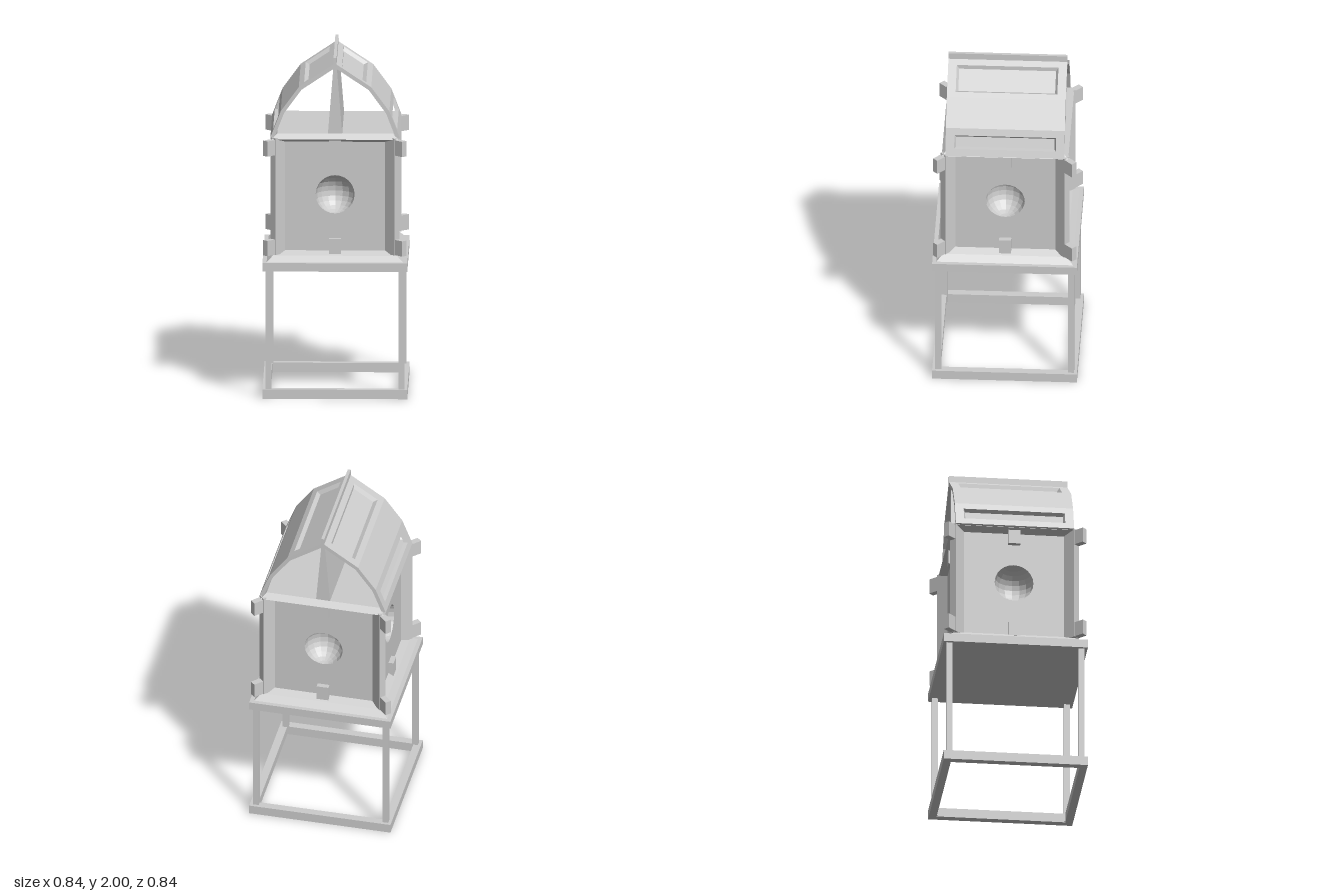
import * as THREE from 'three';

const mat = new THREE.MeshStandardMaterial({ color: 0xcccccc, flatShading: true });
const matDouble = new THREE.MeshStandardMaterial({ color: 0xcccccc, flatShading: true, side: THREE.DoubleSide });

function add(parent, name, geometry, material = mat) {
  const mesh = new THREE.Mesh(geometry, material);
  mesh.name = name;
  parent.add(mesh);
  return mesh;
}

function box(parent, name, size, pos) {
  const mesh = add(parent, name, new THREE.BoxGeometry(...size));
  mesh.position.set(...pos);
  return mesh;
}

// Square solid from a profile of [half width, y]
function squareTurned(parent, name, profile) {
  const points = profile.map(([r, y]) => new THREE.Vector2(r * Math.SQRT2, y));
  return add(parent, name, new THREE.LatheGeometry(points, 4, Math.PI / 4));
}

function rectPoints(u, v0, v1) {
  return [[-u, v0], [u, v0], [u, v1], [-u, v1]].map(([x, y]) => new THREE.Vector2(x, y));
}

// Bevelled window lining, with an optional floor
function windowLining(u, v0, v1, depth, bevel, floor) {
  const outer = rectPoints(u, v0, v1).map((p) => [p.x, p.y, 0]);
  const inner = rectPoints(u - bevel, v0 + bevel, v1 - bevel).map((p) => [p.x, p.y, -depth]);
  const pos = [];
  const quad = (a, b, c, d) => pos.push(...a, ...b, ...c, ...a, ...c, ...d);
  for (let i = 0; i < 4; i++) {
    const j = (i + 1) % 4;
    quad(outer[i], outer[j], inner[j], inner[i]);
  }
  if (floor) quad(...inner);
  const g = new THREE.BufferGeometry();
  g.setAttribute('position', new THREE.Float32BufferAttribute(pos, 3));
  g.computeVertexNormals();
  return g;
}

const ROOF_HALF = 0.345;
const ROOF_THICK = 0.022;

// One sloping roof panel from lower point p to upper point q, on the +x side
function roofPanel(parent, p, q, win) {
  const s = new THREE.Vector3(q[0] - p[0], q[1] - p[1], 0);
  const length = s.length();
  s.normalize();
  const n = new THREE.Vector3(s.y, -s.x, 0);
  const panel = new THREE.Group();
  panel.name = 'roofPanel';
  panel.applyMatrix4(new THREE.Matrix4()
    .makeBasis(new THREE.Vector3(0, 0, -1), s, n)
    .setPosition(p[0], p[1], 0));
  const shape = new THREE.Shape(rectPoints(ROOF_HALF, 0, length));
  if (win) {
    shape.holes.push(new THREE.Path(rectPoints(0.295, win.v0, win.v1).reverse()));
    add(panel, 'roofWindow', windowLining(0.295, win.v0, win.v1, ROOF_THICK - 0.001, win.bevel, win.floor), matDouble);
  }
  const g = new THREE.ExtrudeGeometry(shape, { depth: ROOF_THICK, bevelEnabled: false });
  add(panel, 'roofSlab', g.translate(0, 0, -ROOF_THICK));
  parent.add(panel);
}

export function createModel() {
  const model = new THREE.Group();
  model.name = 'birdhouse';

  // Stand: ground frame, legs and platform
  const stand = new THREE.Group();
  stand.name = 'stand';
  for (const s of [-1, 1]) {
    box(stand, 'groundBarX', [0.84, 0.055, 0.045], [0, 0.0275, s * 0.3975]);
    box(stand, 'groundBarZ', [0.045, 0.055, 0.75], [s * 0.3975, 0.0275, 0]);
    for (const t of [-1, 1]) box(stand, 'leg', [0.035, 0.75, 0.035], [s * 0.385, 0.38, t * 0.385]);
  }
  box(stand, 'platform', [0.84, 0.05, 0.84], [0, 0.777, 0]);
  model.add(stand);

  // Sloping base and cornice
  squareTurned(model, 'base', [[0, 0.8], [0.398, 0.8], [0.36, 0.835], [0.318, 0.86], [0, 0.86]]);
  squareTurned(model, 'cornice', [[0, 1.5], [0.318, 1.5], [0.367, 1.522], [0.335, 1.552], [0, 1.552]]);

  // Four sides, each with a wall, bowl, clips and one corner post
  const wallShape = new THREE.Shape(rectPoints(0.32, 0.84, 1.52));
  const hole = new THREE.Path();
  hole.absarc(0, 1.19, 0.113, 0, Math.PI * 2, true);
  wallShape.holes.push(hole);
  const wallGeo = new THREE.ShapeGeometry(wallShape, 12);
  const bowlGeo = new THREE.SphereGeometry(0.113, 8, 12, Math.PI, Math.PI);
  for (let i = 0; i < 4; i++) {
    const side = new THREE.Group();
    side.name = 'side';
    side.rotation.y = i * Math.PI / 2;
    add(side, 'wall', wallGeo, matDouble).position.z = 0.32;
    add(side, 'bowl', bowlGeo, matDouble).position.set(0, 1.19, 0.32);

    const corner = new THREE.Group();
    corner.name = 'corner';
    corner.rotation.y = Math.PI / 4;
    box(corner, 'cornerPost', [0.042, 0.69, 0.09], [0, 1.185, 0.464]);
    for (const y of [0.887, 1.475]) {
      box(side, 'wallClip', [0.07, 0.09, 0.05], [0, y, 0.325]);
      box(corner, 'cornerClip', [0.036, 0.09, 0.1], [0, y, 0.52]);
    }
    side.add(corner);
    model.add(side);
  }

  // Roof: two mirrored halves of three panels
  const profile = [[0.375, 1.53], [0.315, 1.685], [0.21, 1.828], [0, 1.968]];
  const windows = [
    { v0: 0.043, v1: 0.123, bevel: 0.01, floor: false },
    null,
    { v0: 0.036, v1: 0.204, bevel: 0.014, floor: true },
  ];
  for (let h = 0; h < 2; h++) {
    const half = new THREE.Group();
    half.name = 'roofHalf';
    half.rotation.y = h * Math.PI;
    windows.forEach((w, i) => roofPanel(half, profile[i], profile[i + 1], w));
    model.add(half);
  }
  box(model, 'ridge', [0.018, 0.06, ROOF_HALF * 2], [0, 1.97, 0]);

  // Tapered divider under the ridge
  const divider = new THREE.Shape([[-0.042, 1.545], [0.042, 1.545], [0.009, 1.955], [-0.009, 1.955]]
    .map(([x, y]) => new THREE.Vector2(x, y)));
  const dividerGeo = new THREE.ExtrudeGeometry(divider, { depth: 0.67, bevelEnabled: false });
  add(model, 'divider', dividerGeo.translate(0, 0, -0.335));

  return model;
}
